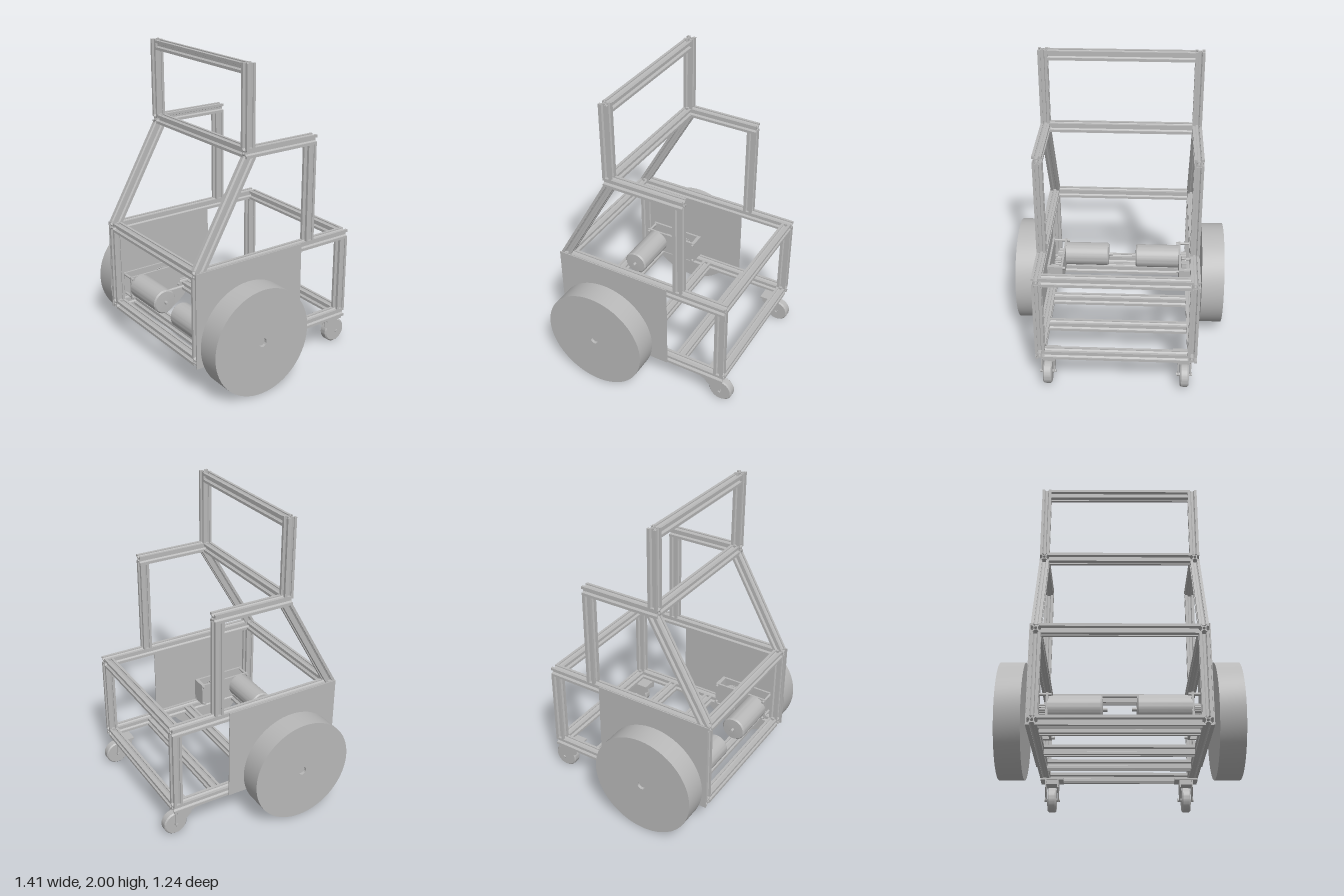
import * as THREE from 'three';
import { toCreasedNormals } from 'three/addons/utils/BufferGeometryUtils.js';

const aluminium = new THREE.MeshStandardMaterial({ color: 0xb8b8b8 });
aluminium.name = 'aluminium grey';

// T-slot section: the same slotted side turned four times around a bored core
function slotProfile() {
  const side = [[0.03, -0.03], [0.03, -0.013], [0.024, -0.013], [0.024, -0.018], [0.013, -0.007],
    [0.013, 0.007], [0.024, 0.018], [0.024, 0.013], [0.03, 0.013]];
  const points = [];
  for (let k = 0; k < 4; k++) {
    for (const [x, y] of side) {
      points.push(new THREE.Vector2(x, y).rotateAround(new THREE.Vector2(), k * Math.PI / 2));
    }
  }
  const shape = new THREE.Shape(points);
  shape.holes.push(new THREE.Path().absarc(0, 0, 0.009, 0, Math.PI * 2, true));
  return shape;
}
const profile = slotProfile();

function add(parent, name, geometry, x = 0, y = 0, z = 0) {
  const mesh = new THREE.Mesh(geometry, aluminium);
  mesh.name = name;
  mesh.position.set(x, y, z);
  parent.add(mesh);
  return mesh;
}

function box(parent, name, x, y, z, w, h, d) {
  return add(parent, name, new THREE.BoxGeometry(w, h, d), x, y, z);
}

function rod(parent, name, x, y, z, r, length) {
  const g = new THREE.CylinderGeometry(r, r, length, 24).rotateZ(Math.PI / 2);
  return add(parent, name, g, x, y, z);
}

function beam(parent, name, from, to) {
  const a = new THREE.Vector3(...from);
  const dir = new THREE.Vector3(...to).sub(a);
  const g = new THREE.ExtrudeGeometry(profile, { depth: dir.length(), bevelEnabled: false, curveSegments: 8 });
  const mesh = add(parent, name, g, ...from);
  mesh.quaternion.setFromUnitVectors(new THREE.Vector3(0, 0, 1), dir.normalize());
}

// Sloping strut with its ends cut level
function strut(parent, name, x, y0, z0, y1, z1) {
  const h = y1 - y0;
  const g = new THREE.ExtrudeGeometry(profile, { depth: h, bevelEnabled: false, curveSegments: 8 });
  g.rotateX(-Math.PI / 2).scale(1, 1, 1.15);
  g.applyMatrix4(new THREE.Matrix4().set(1, 0, 0, 0, 0, 1, 0, 0, 0, (z1 - z0) / h, 1, 0, 0, 0, 0, 1));
  g.computeVertexNormals();
  add(parent, name, g, x, y0, z0);
}

// Turned part along x, from [radius, position] points; s points it outward
function turned(parent, name, points, s, x, y, z) {
  const g = new THREE.LatheGeometry(points.map(([r, h]) => new THREE.Vector2(r, h)), 64);
  g.rotateZ(-s * Math.PI / 2);
  return add(parent, name, toCreasedNormals(g, 0.6), x, y, z);
}

function gear(parent, name, r, teeth, x, y, z) {
  const points = [];
  for (let i = 0; i < teeth; i++) {
    [[0, 0.88], [0.3, 0.88], [0.45, 1], [0.8, 1]].forEach(([f, k]) => {
      const a = (i + f) / teeth * Math.PI * 2;
      points.push(new THREE.Vector2(Math.cos(a) * r * k, Math.sin(a) * r * k));
    });
  }
  const g = new THREE.ExtrudeGeometry(new THREE.Shape(points), { depth: 0.035, bevelEnabled: false });
  g.translate(0, 0, -0.0175).rotateY(Math.PI / 2);
  add(parent, name, g, x, y, z);
}

function driveUnit(s) {
  const unit = new THREE.Group();
  unit.name = s > 0 ? 'leftDrive' : 'rightDrive';
  const y = 0.348;
  const dz = s > 0 ? 0 : -0.01;
  const axleZ = 0.264 + dz;
  const motorZ = 0.457 + dz;
  // Solid wheel with a bored hub
  turned(unit, 'wheel', [[0.028, -0.075], [0.348, -0.075], [0.348, 0.075], [0.028, 0.075], [0.028, -0.075]],
    s, s * 0.631, y, axleZ);
  rod(unit, 'axle', s * 0.555, y, axleZ, 0.025, 0.27);
  // Motor
  turned(unit, 'motor', [[0, -0.158], [0.03, -0.158], [0.074, -0.156], [0.082, -0.146], [0.082, 0.158], [0, 0.158]],
    s, s * 0.255, y, motorZ);
  rod(unit, 'motorShaft', s * 0.25, y, motorZ, 0.011, 0.36);
  // Gearbox bracket and gears
  box(unit, 'gearboxPlate', s * 0.415, y, 0.34 + dz, 0.014, 0.16, 0.39);
  box(unit, 'gearboxPlate', s * 0.508, y, 0.34 + dz, 0.014, 0.16, 0.39);
  box(unit, 'gearboxEnd', s * 0.46, y, 0.158 + dz, 0.1, 0.16, 0.025);
  gear(unit, 'axleGear', 0.075, 30, s * 0.445, y, axleZ);
  gear(unit, 'idlerGear', 0.052, 22, s * 0.445, y, 0.382 + dz);
  gear(unit, 'motorGear', 0.034, 14, s * 0.445, y, motorZ);
  for (const by of [y - 0.068, y + 0.068]) {
    for (const bz of [0.157, 0.524]) rod(unit, 'gearboxBolt', s * 0.461, by, bz + dz, 0.009, 0.142);
  }
  return unit;
}

function caster(s) {
  const group = new THREE.Group();
  group.name = s > 0 ? 'leftCaster' : 'rightCaster';
  const x = s * 0.442;
  box(group, 'mountPlate', x, 0.195, -0.49, 0.15, 0.012, 0.12);
  box(group, 'swivelBlock', x, 0.175, -0.49, 0.09, 0.03, 0.1);
  // Fork cheek tapering back to the wheel axle
  const cheek = new THREE.Shape([[0.435, 0.19], [0.435, 0.14], [0.53, 0.065], [0.55, 0.075], [0.545, 0.19]]
    .map(([z, y]) => new THREE.Vector2(z, y)));
  for (const k of [-1, 1]) {
    const g = new THREE.ExtrudeGeometry(cheek, { depth: 0.008, bevelEnabled: false });
    g.translate(0, 0, -0.004).rotateY(Math.PI / 2);
    add(group, 'forkCheek', g, x + k * 0.04, 0, 0);
  }
  turned(group, 'casterWheel', [[0, -0.028], [0.072, -0.028], [0.08, -0.02], [0.08, 0.02], [0.072, 0.028], [0, 0.028]],
    1, x, 0.08, -0.54);
  rod(group, 'casterAxle', x, 0.08, -0.54, 0.011, 0.104);
  return group;
}

export function createModel() {
  const model = new THREE.Group();
  model.name = 'wheeledFrame';
  const frame = new THREE.Group();
  frame.name = 'frame';
  model.add(frame);

  for (const s of [-1, 1]) {
    const x = s * 0.488;
    // Lengthwise rails
    beam(frame, 'bottomRail', [x, 0.23, -0.572], [x, 0.23, 0.61]);
    beam(frame, 'middleRail', [x, 0.793, -0.572], [x, 0.793, 0.61]);
    beam(frame, 'upperRail', [x, 1.478, -0.282], [x, 1.478, 0.252]);
    // Uprights
    beam(frame, 'frontPost', [x, 0.26, 0.58], [x, 0.763, 0.58]);
    beam(frame, 'rearPost', [x, 0.26, -0.542], [x, 0.763, -0.542]);
    beam(frame, 'upperRearPost', [x, 0.823, -0.25], [x, 1.448, -0.25]);
    beam(frame, 'handlePost', [x, 1.508, 0.222], [x, 2, 0.222]);
    strut(frame, 'frontStrut', x, 0.823, 0.575, 1.448, 0.218);
    // Side panel
    box(model, 'sidePanel', s * 0.521, 0.51, s > 0 ? 0.222 : 0.215, 0.007, 0.62, 0.795);
    model.add(driveUnit(s), caster(s));
  }

  // Cross beams as [name, y, z]
  const crossBeams = [
    ['bottomFrontBeam', 0.23, 0.58], ['bottomMotorBeam', 0.23, 0.45], ['bottomMiddleBeam', 0.23, 0.055],
    ['bottomInnerBeam', 0.23, -0.245], ['bottomRearBeam', 0.23, -0.542],
    ['middleFrontBeam', 0.793, 0.58], ['middleRearBeam', 0.793, -0.542],
    ['upperBeam', 1.478, 0.222], ['handleBeam', 1.967, 0.222],
  ];
  for (const [name, y, z] of crossBeams) beam(frame, name, [-0.458, y, z], [0.458, y, z]);
  return model;
}
